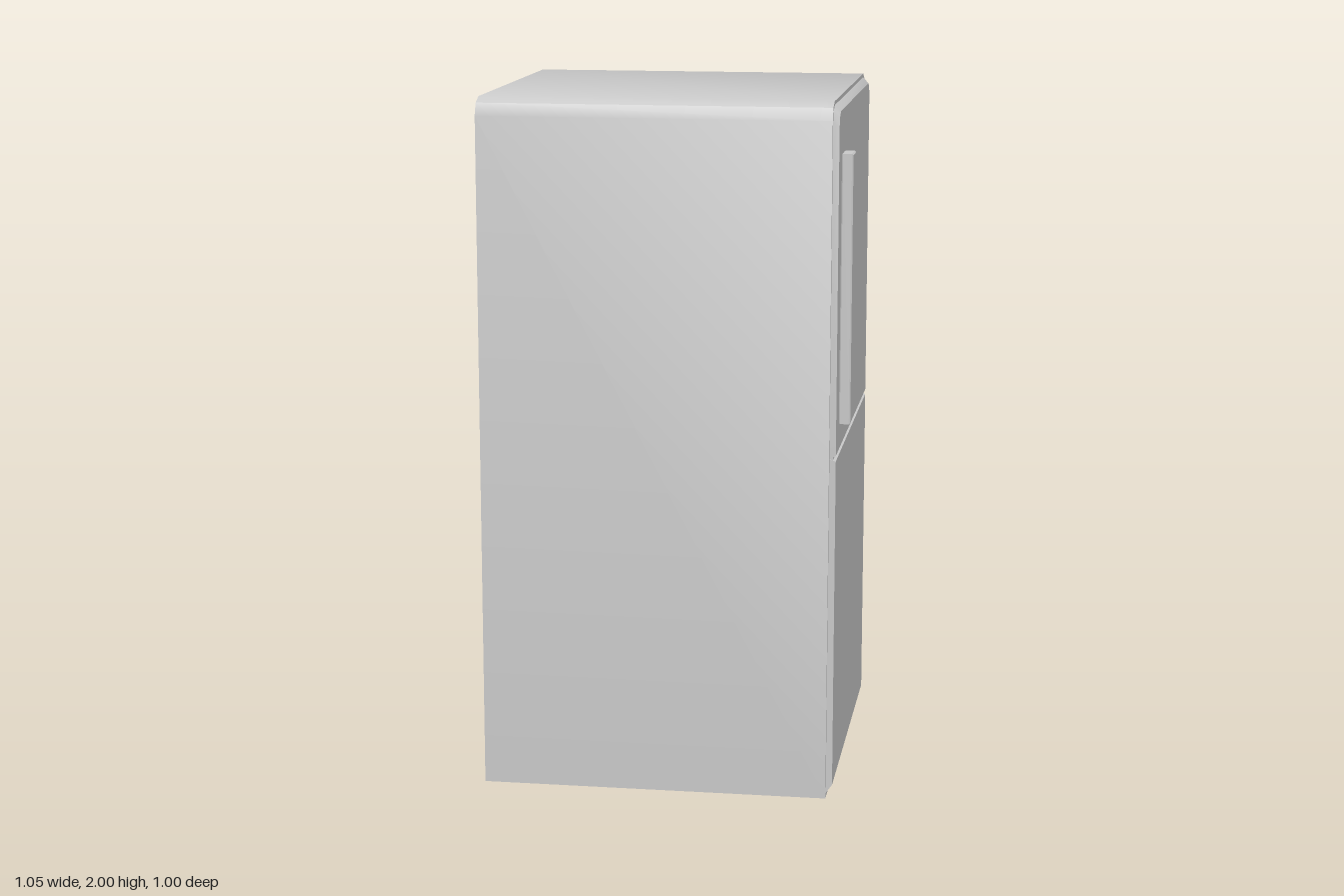
import * as THREE from 'three';
import { toCreasedNormals } from 'three/addons/utils/BufferGeometryUtils.js';

const material = new THREE.MeshStandardMaterial({ color: 0xcccccc });

// Outline as [z, y] pairs, counter-clockwise seen from +x; c cuts the top corners.
function outline(z, y0, y1, c) {
  if (!c) return [[z, y0], [-z, y0], [-z, y1], [z, y1]];
  const s = c * 0.3;
  return [
    [z, y0], [-z, y0],
    [-z, y1 - c], [-z + s, y1 - s], [-z + c, y1],
    [z - c, y1], [z - s, y1 - s], [z, y1 - c],
  ];
}

// Skin a series of outlines placed along x and cap both ends.
function loft(name, sections, crease) {
  const n = sections[0].points.length;
  const positions = sections.flatMap(({ x, points }) => points.flatMap(([z, y]) => [x, y, z]));
  const index = [];
  for (let s = 0; s < sections.length - 1; s++) {
    for (let i = 0; i < n; i++) {
      const a = s * n + i, b = s * n + (i + 1) % n;
      index.push(a, b, b + n, a, b + n, a + n);
    }
  }
  const last = (sections.length - 1) * n;
  for (let i = 1; i < n - 1; i++) {
    index.push(0, i + 1, i);
    index.push(last, last + i, last + i + 1);
  }
  const geometry = new THREE.BufferGeometry();
  geometry.setAttribute('position', new THREE.Float32BufferAttribute(positions, 3));
  geometry.setIndex(index);
  const mesh = new THREE.Mesh(toCreasedNormals(geometry, crease), material);
  mesh.name = name;
  return mesh;
}

export function createModel() {
  const group = new THREE.Group();
  group.name = 'refrigerator';

  // Cabinet with softened top corners
  const shell = outline(0.5, 0, 2, 0.05);
  group.add(loft('cabinet', [{ x: -0.526, points: shell }, { x: 0.475, points: shell }], 0.6));

  // Doors with bevelled rims that meet in a groove
  const door = (name, y0, y1, f0, f1, c) => loft(name, [
    { x: 0.474, points: outline(0.49, y0, y1, c) },
    { x: 0.492, points: outline(0.479, f0, f1, c * 0.9) },
  ], 0.4);
  group.add(door('upperDoor', 1, 1.99, 1.008, 1.972, 0.045));
  group.add(door('lowerDoor', 0.012, 1, 0.035, 0.992, 0));

  // Shallow floor of the groove between the doors
  const seam = new THREE.Mesh(new THREE.BoxGeometry(0.01, 0.016, 0.968), material);
  seam.name = 'doorSeam';
  seam.position.set(0.479, 1, 0);
  group.add(seam);

  // Vertical handle bar with a small bevel all round
  const bar = (x, inset) => ({
    x, points: outline(0.0425 - inset, 1.083 + inset, 1.85 - inset, 0),
  });
  const handle = loft('handle', [bar(0.488, 0.004), bar(0.495, 0), bar(0.52, 0), bar(0.524, 0.004)], 0.4);
  handle.position.z = 0.358;
  group.add(handle);

  return group;
}
